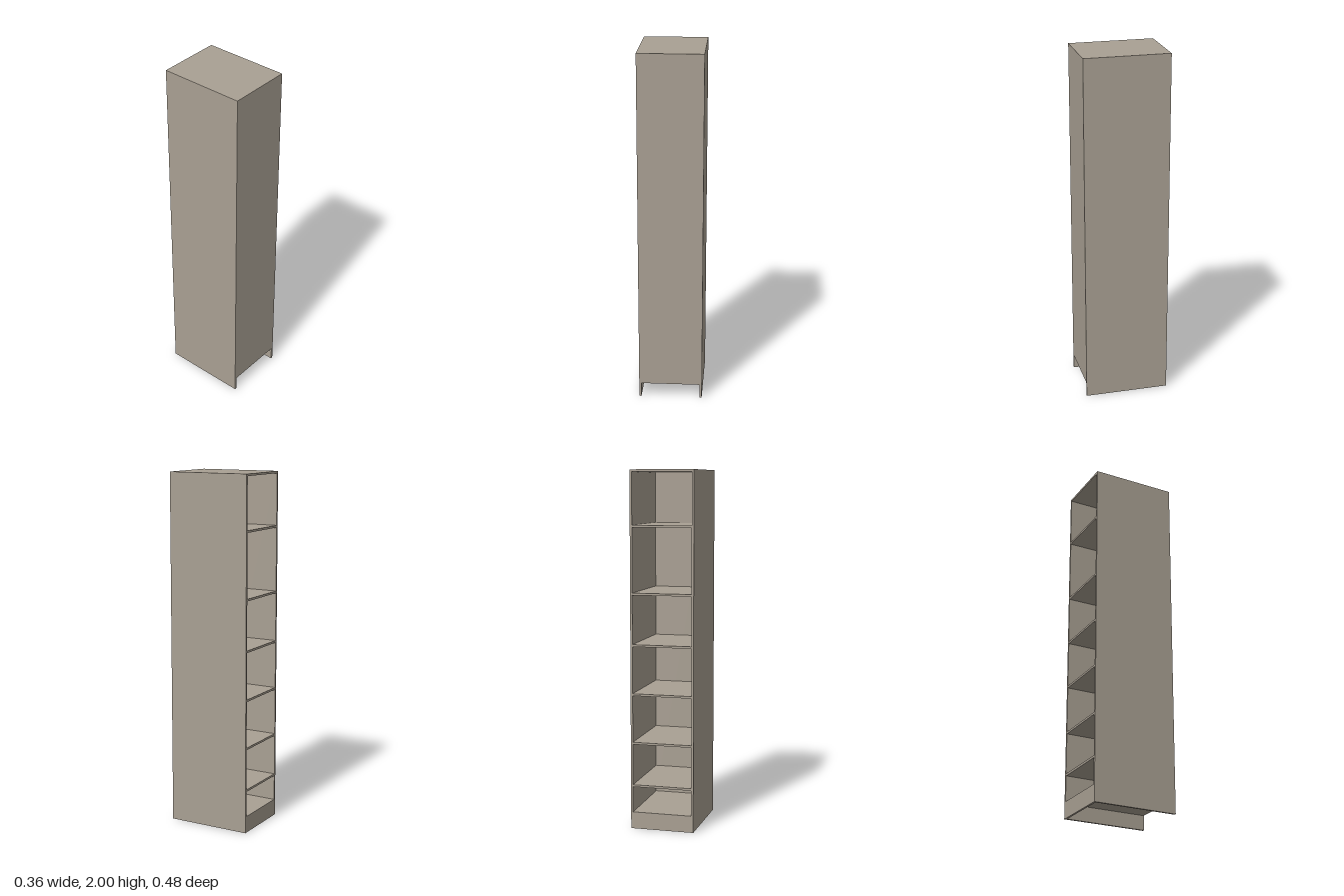
import * as THREE from 'three';

export function createModel() {
  const group = new THREE.Group();
  const board = new THREE.MeshStandardMaterial({ color: 0xa9a093 });
  board.name = 'taupe board';

  const W = 0.36, H = 2, D = 0.48, T = 0.012;
  const inner = W - 2 * T;
  const plinth = 0.083;

  // Adds a board by its size, bottom height and centre
  function panel(name, w, h, d, x, y, z) {
    const mesh = new THREE.Mesh(new THREE.BoxGeometry(w, h, d), board);
    mesh.name = name;
    mesh.position.set(x, y + h / 2, z);
    group.add(mesh);
  }

  // Carcass: two full-height sides and the top between them
  panel('leftSide', T, H, D, (W - T) / 2, 0, 0);
  panel('rightSide', T, H, D, -(W - T) / 2, 0, 0);
  panel('topBoard', inner, T, D - T, 0, H - T, -T / 2);

  // Closed front, stopping above the toe gap
  panel('frontPanel', inner, H - plinth, T, 0, plinth, (D - T) / 2);

  // Bottom board and the kick board under its back edge
  panel('bottomBoard', inner, T, D - T, 0, plinth, -T / 2);
  panel('kickBoard', inner, plinth, T, 0, 0, -(D - T) / 2);

  // Shelves, open towards the back
  [0.252, 0.495, 0.77, 1.045, 1.33, 1.7].forEach((top, i) => {
    panel('shelf' + (i + 1), inner, T, D - T, 0, top - T, -T / 2);
  });

  return group;
}
